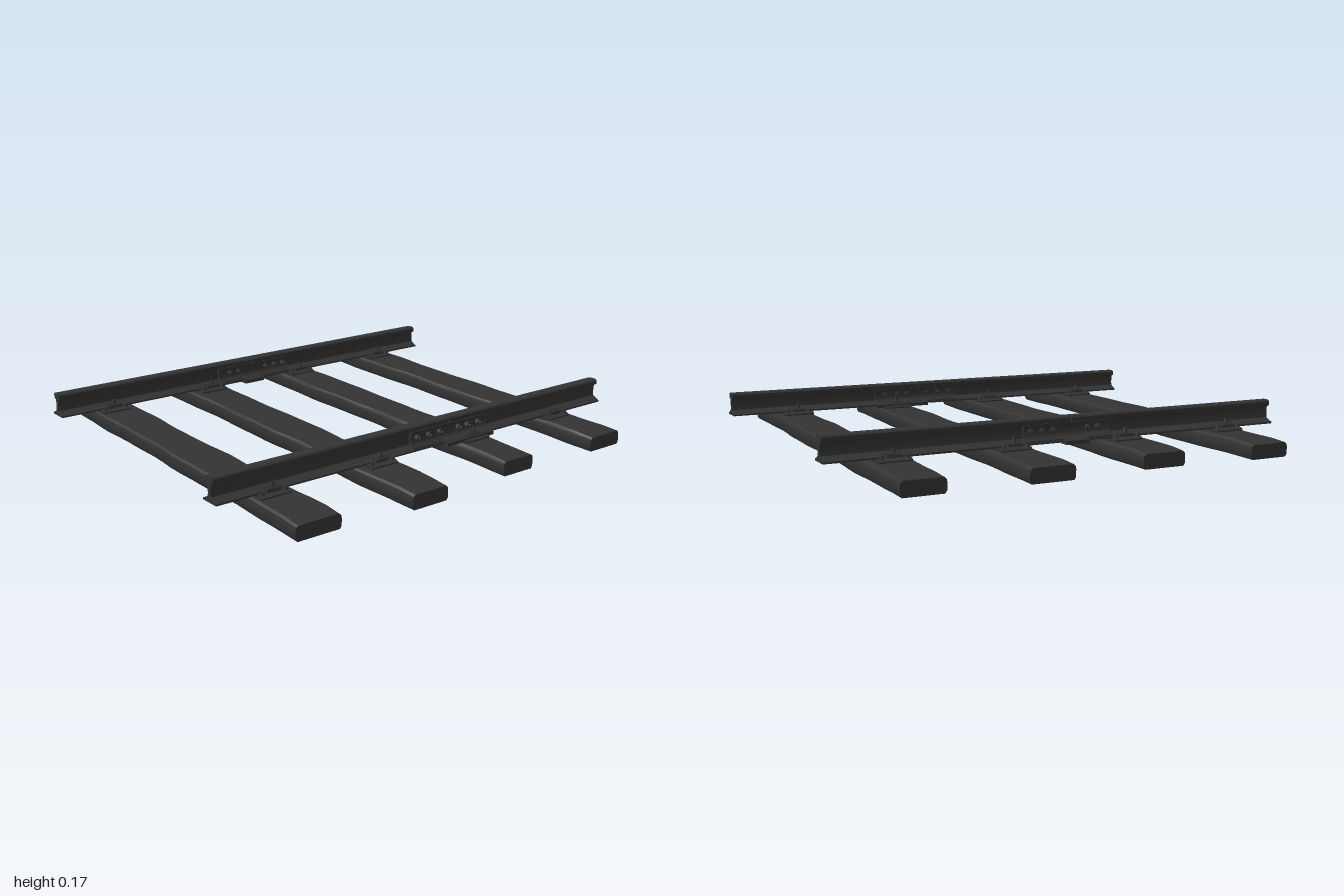
import * as THREE from 'three';
import { toCreasedNormals } from 'three/addons/utils/BufferGeometryUtils.js';

const material = new THREE.MeshStandardMaterial({ color: 0x333333 });

function addMesh(parent, name, geometry, x = 0, y = 0, z = 0) {
  const mesh = new THREE.Mesh(geometry, material);
  mesh.name = name;
  mesh.position.set(x, y, z);
  parent.add(mesh);
  return mesh;
}

function shapeFrom(points) {
  return new THREE.Shape(points.map(([x, y]) => new THREE.Vector2(x, y)));
}

// Extrudes a [z, y] profile along x, from x0 to x1
function extrudeAlongX(points, x0, x1) {
  const geo = new THREE.ExtrudeGeometry(shapeFrom(points), { depth: x1 - x0, bevelEnabled: false });
  geo.rotateY(Math.PI / 2).translate(x0, 0, 0);
  return toCreasedNormals(geo, 0.6);
}

// Closes a half profile (z >= 0, bottom to top) by mirroring it
function mirrored(half) {
  return [...half, ...half.slice().reverse().map(([z, y]) => [-z, y])];
}

// Worn timber: a chamfered bar that leans between its ends, with wavy sides and dropped edges
function sleeperGeometry({ back, front, zBack, zFront }, seed) {
  const section = mirrored([[0.46, 0], [0.5, 0.012], [0.5, 0.047], [0.485, 0.058], [0.44, 0.065]]);
  const geo = new THREE.ExtrudeGeometry(shapeFrom(section), { depth: 1, steps: 24, bevelEnabled: false });
  const p = geo.attributes.position;
  for (let i = 0; i < p.count; i++) {
    const u = p.getX(i), y = p.getY(i), t = p.getZ(i);
    const left = THREE.MathUtils.lerp(back[0], front[0], t);
    const right = THREE.MathUtils.lerp(back[1], front[1], t);
    const wave = 0.004 * Math.sin(t * 17 + seed * 2.1 + u * 3) + 0.002 * Math.sin(t * 41 + seed);
    const end = t < 0.01 || t > 0.99;
    const drop = y > 0.04 ? (end ? 0.006 : 0.001 * (1 + Math.sin(t * 23 + seed + u * 4))) : 0;
    p.setXYZ(i, (left + right) / 2 + u * (right - left) + wave, y - drop,
      THREE.MathUtils.lerp(zBack, zFront, t));
  }
  return toCreasedNormals(geo, 0.6);
}

const railProfile = mirrored([
  [0.043, 0.075], [0.043, 0.082], [0.024, 0.09], [0.011, 0.098], [0.009, 0.108],
  [0.009, 0.138], [0.012, 0.146], [0.024, 0.152], [0.025, 0.167], [0.02, 0.173], [0.01, 0.175],
]);
const basePlate = mirrored([[0.074, 0.06], [0.074, 0.07], [0.055, 0.078]]);
const clip = [[0.03, 0.078], [0.058, 0.078], [0.056, 0.09], [0.046, 0.1], [0.034, 0.1], [0.024, 0.09]];
const jointBar = [[0.009, 0.088], [0.04, 0.08], [0.04, 0.088], [0.024, 0.1], [0.019, 0.112],
  [0.019, 0.135], [0.025, 0.15], [0.009, 0.15]];

// Plate, two clips and screw spikes that hold the rail on a sleeper
function makeChair(x, z) {
  const chair = new THREE.Group();
  chair.name = 'railChair';
  chair.position.set(x, 0, z);
  addMesh(chair, 'basePlate', extrudeAlongX(basePlate, -0.065, 0.065));
  for (const side of [1, -1]) {
    const holder = new THREE.Group();
    holder.name = 'clipAssembly';
    holder.rotation.y = side > 0 ? 0 : Math.PI;
    chair.add(holder);
    addMesh(holder, 'clip', extrudeAlongX(clip.map(([a, b]) => [-a, b]), -0.03, 0.03));
    addMesh(holder, 'screw', new THREE.CylinderGeometry(0.006, 0.009, 0.022, 6), 0, 0.103, 0.045);
    for (const dx of [-0.05, 0.05])
      addMesh(holder, 'spike', new THREE.CylinderGeometry(0.006, 0.008, 0.016, 6), dx, 0.082, 0.057);
  }
  return chair;
}

// Joint bars on both faces of the rail, with nuts and bolts through the web
function makeJoint(z, { from, to, bolts, block }) {
  const joint = new THREE.Group();
  joint.name = 'railJoint';
  joint.position.z = z;
  for (const side of [1, -1]) {
    const half = new THREE.Group();
    half.name = 'jointSide';
    joint.add(half);
    // extrudeAlongX maps the first profile coordinate to -z
    const profile = jointBar.map(([a, b]) => [-side * a, b]);
    addMesh(half, 'jointBar', extrudeAlongX(profile, from, to));
    for (const x of bolts) {
      const nut = new THREE.CylinderGeometry(0.013, 0.013, 0.016, 6).rotateX(Math.PI / 2);
      addMesh(half, 'nut', nut, x, 0.123, side * 0.026);
      const bolt = new THREE.CylinderGeometry(0.006, 0.006, 0.014, 8).rotateX(Math.PI / 2);
      addMesh(half, 'boltEnd', bolt, x, 0.123, side * 0.038);
    }
    // Support block under the joint
    const [b0, b1] = block;
    const support = [[0.02, 0.068], [0.062, 0.068], [0.062, 0.082], [0.048, 0.094], [0.03, 0.094]];
    addMesh(half, 'supportBlock', extrudeAlongX(support.map(([a, b]) => [-side * a, b]), b0, b1));
  }
  return joint;
}

export function createModel() {
  const model = new THREE.Group();
  model.name = 'railwayTrack';

  // Sleepers: x range at each end, then z range
  const sleepers = [
    { back: [-0.822, -0.642], front: [-0.855, -0.667], zBack: -0.965, zFront: 0.935 },
    { back: [-0.35, -0.158], front: [-0.368, -0.192], zBack: -0.935, zFront: 0.967 },
    { back: [0.162, 0.342], front: [0.136, 0.296], zBack: -0.972, zFront: 0.925 },
    { back: [0.662, 0.84], front: [0.624, 0.79], zBack: -0.965, zFront: 0.94 },
  ];
  sleepers.forEach((s, i) => addMesh(model, 'sleeper', sleeperGeometry(s, i + 1)));

  // Rails in two lengths that meet at a bolted joint
  const rails = [
    { name: 'backRail', z: -0.612, gap: -0.02, chairs: [-0.755, -0.255, 0.245, 0.735],
      joint: { from: -0.2, to: 0.19, bolts: [-0.14, -0.095, 0.06, 0.11, 0.16], block: [-0.08, 0.025] } },
    { name: 'frontRail', z: 0.617, gap: 0.11, chairs: [-0.765, -0.265, 0.225, 0.705],
      joint: { from: -0.09, to: 0.32, bolts: [-0.06, 0.0, 0.06, 0.16, 0.21, 0.27], block: [0.07, 0.325] } },
  ];
  for (const { name, z, gap, chairs, joint } of rails) {
    const rail = new THREE.Group();
    rail.name = name;
    model.add(rail);
    addMesh(rail, 'railLength', extrudeAlongX(railProfile, -1, gap - 0.002), 0, 0, z);
    addMesh(rail, 'railLength', extrudeAlongX(railProfile, gap + 0.002, 1), 0, 0, z);
    for (const x of chairs) rail.add(makeChair(x, z));
    rail.add(makeJoint(z, joint));
  }
  return model;
}
